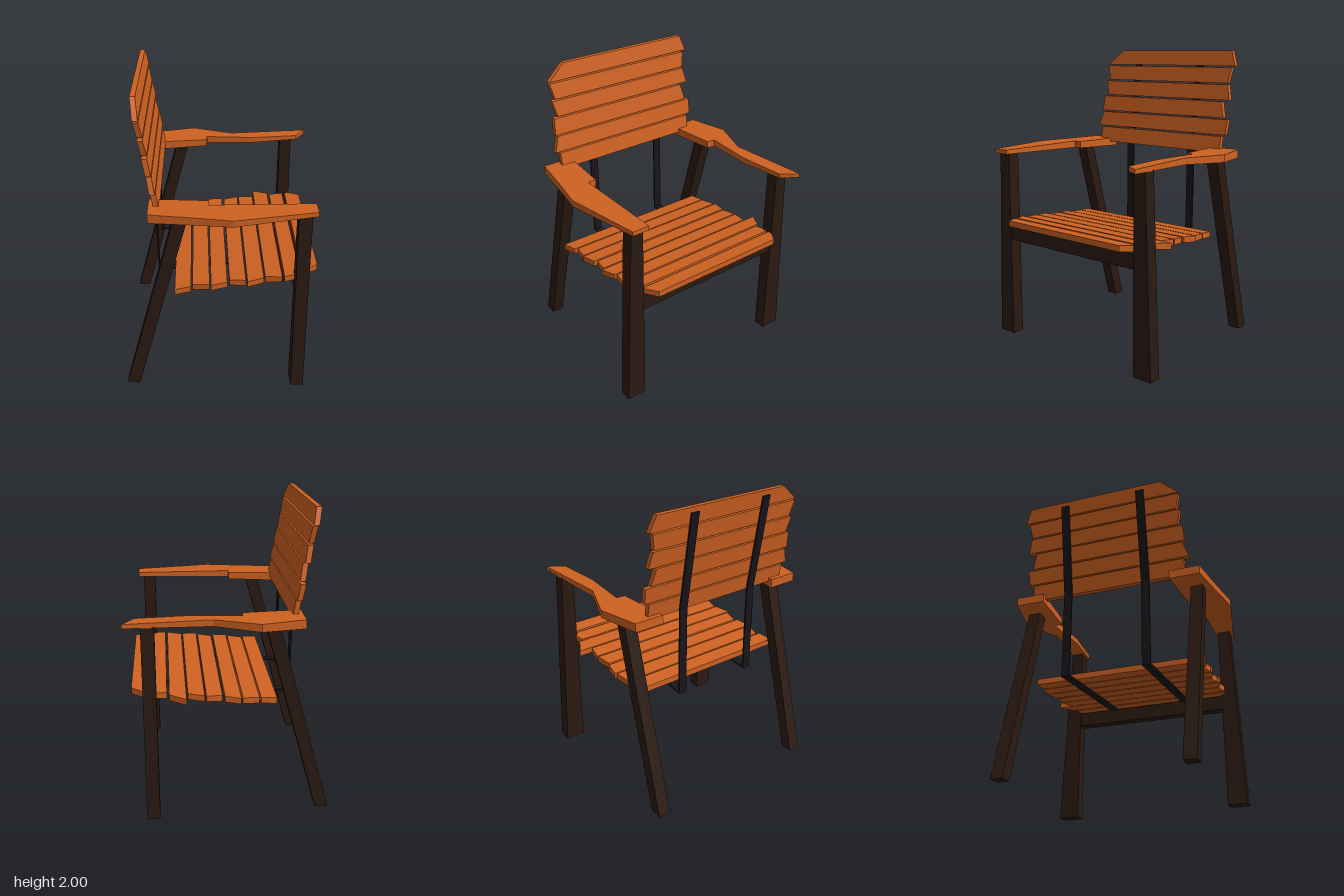
import * as THREE from 'three';

const wood = new THREE.MeshStandardMaterial({ color: 0xcf6222, flatShading: true });
const darkWood = new THREE.MeshStandardMaterial({ color: 0x2b1a12, flatShading: true });
const metal = new THREE.MeshStandardMaterial({ color: 0x1a1518, flatShading: true });

// Extrudes an outline (u, v) by depth w, then places every corner with map(u, v, w).
function board(name, outline, depth, material, map) {
  const shape = new THREE.Shape(outline.map(([u, v]) => new THREE.Vector2(u, v)));
  const geometry = new THREE.ExtrudeGeometry(shape, { depth, bevelEnabled: false });
  const p = geometry.attributes.position;
  for (let i = 0; i < p.count; i++) p.setXYZ(i, ...map(p.getX(i), p.getY(i), p.getZ(i)));
  geometry.computeVertexNormals();
  const mesh = new THREE.Mesh(geometry, material);
  mesh.name = name;
  return mesh;
}

// Flat bar bent along points in the x-y plane
function strap(name, points, z) {
  const group = new THREE.Group();
  group.name = name;
  for (let i = 1; i < points.length; i++) {
    const [ax, ay] = points[i - 1], [bx, by] = points[i];
    const length = Math.hypot(bx - ax, by - ay);
    const bar = new THREE.Mesh(new THREE.BoxGeometry(length + 0.01, 0.011, 0.057), metal);
    bar.position.set((ax + bx) / 2, (ay + by) / 2, z);
    bar.rotation.z = Math.atan2(by - ay, bx - ax);
    bar.name = 'strapSegment';
    group.add(bar);
  }
  return group;
}

export function createModel() {
  const chair = new THREE.Group();
  chair.name = 'armchair';

  // Front legs, outer side flared towards the floor: [inner z, outer z at floor, outer z at top]
  for (const [inner, floor, top] of [[0.54, 0.675, 0.625], [-0.565, -0.705, -0.65]]) {
    chair.add(board('frontLeg', [[inner, 0], [floor, 0], [top, 1.31], [inner, 1.31]], 0.085, darkWood,
      (u, v, w) => [0.545 - w, v, u]));
  }

  // Slanted back legs
  for (const z of [0.535, -0.65]) {
    chair.add(board('backLeg', [[-0.66, 0], [-0.575, 0], [-0.22, 1.295], [-0.307, 1.295]], 0.083, darkWood,
      (u, v, w) => [u, v, z + w]));
  }

  // Rail between the front legs
  const rail = new THREE.Mesh(new THREE.BoxGeometry(0.07, 0.1, 1.11), darkWood);
  rail.position.set(0.503, 0.745, -0.0125);
  rail.name = 'frontRail';
  chair.add(rail);

  // Armrests, outlines as [z, x], thinner towards the front
  const arms = {
    leftArmrest: [[-0.665, -0.465], [-0.73, -0.185], [-0.62, 0.1], [-0.665, 0.655], [-0.555, 0.58],
      [-0.527, 0.26], [-0.555, -0.085], [-0.497, -0.09], [-0.465, -0.465]],
    rightArmrest: [[0.635, -0.465], [0.678, -0.2], [0.725, 0.055], [0.635, 0.58], [0.52, 0.58],
      [0.52, -0.09], [0.462, -0.09], [0.43, -0.465]],
  };
  for (const [name, outline] of Object.entries(arms)) {
    chair.add(board(name, outline, 1, wood,
      (u, v, w) => [v, 1.335 - (1 - w) * (0.046 - 0.028 * v), u]));
  }

  // Seat slats: [x back, x front, z ends at back edge, z ends at front edge]
  const seatSlats = [
    [-0.315, -0.21, -0.55, 0.61, -0.56, 0.59],
    [-0.2, -0.09, -0.56, 0.57, -0.58, 0.59],
    [-0.08, 0.025, -0.59, 0.6, -0.57, 0.58],
    [0.04, 0.145, -0.56, 0.56, -0.58, 0.58],
    [0.155, 0.262, -0.58, 0.6, -0.56, 0.57],
    [0.272, 0.38, -0.65, 0.56, -0.59, 0.58],
    [0.395, 0.495, -0.56, 0.58, -0.58, 0.56],
    [0.515, 0.62, -0.585, 0.53, -0.515, 0.475],
  ];
  for (const [x0, x1, a0, b0, a1, b1] of seatSlats) {
    chair.add(board('seatSlat', [[a0, x0], [b0, x0], [b1, x1], [a1, x1]], 0.04, wood,
      (u, v, w) => [v, 0.757 + 0.095 * v + w, u]));
  }

  // Back slats: [y bottom, y top, z ends at bottom edge, z ends at top edge]
  const backSlats = [
    [1.31, 1.42, -0.555, 0.53, -0.555, 0.53],
    [1.43, 1.535, -0.585, 0.565, -0.59, 0.53],
    [1.545, 1.655, -0.555, 0.545, -0.525, 0.535],
    [1.665, 1.77, -0.585, 0.505, -0.56, 0.53],
    [1.78, 1.885, -0.555, 0.505, -0.575, 0.53],
    [1.895, 2.0, -0.6, 0.53, -0.56, 0.405],
  ];
  for (const [y0, y1, a0, b0, a1, b1] of backSlats) {
    chair.add(board('backSlat', [[a0, y0], [b0, y0], [b1, y1], [a1, y1]], 0.034, wood,
      (u, v, w) => [-0.395 - (v - 1.31) * 0.174 - w, v, u]));
  }

  // Bent straps carrying the seat and back
  const path = [[-0.547, 1.96], [-0.436, 1.31], [-0.43, 0.711], [0.58, 0.806]];
  for (const z of [0.26, -0.292]) chair.add(strap('supportStrap', path, z));

  return chair;
}
